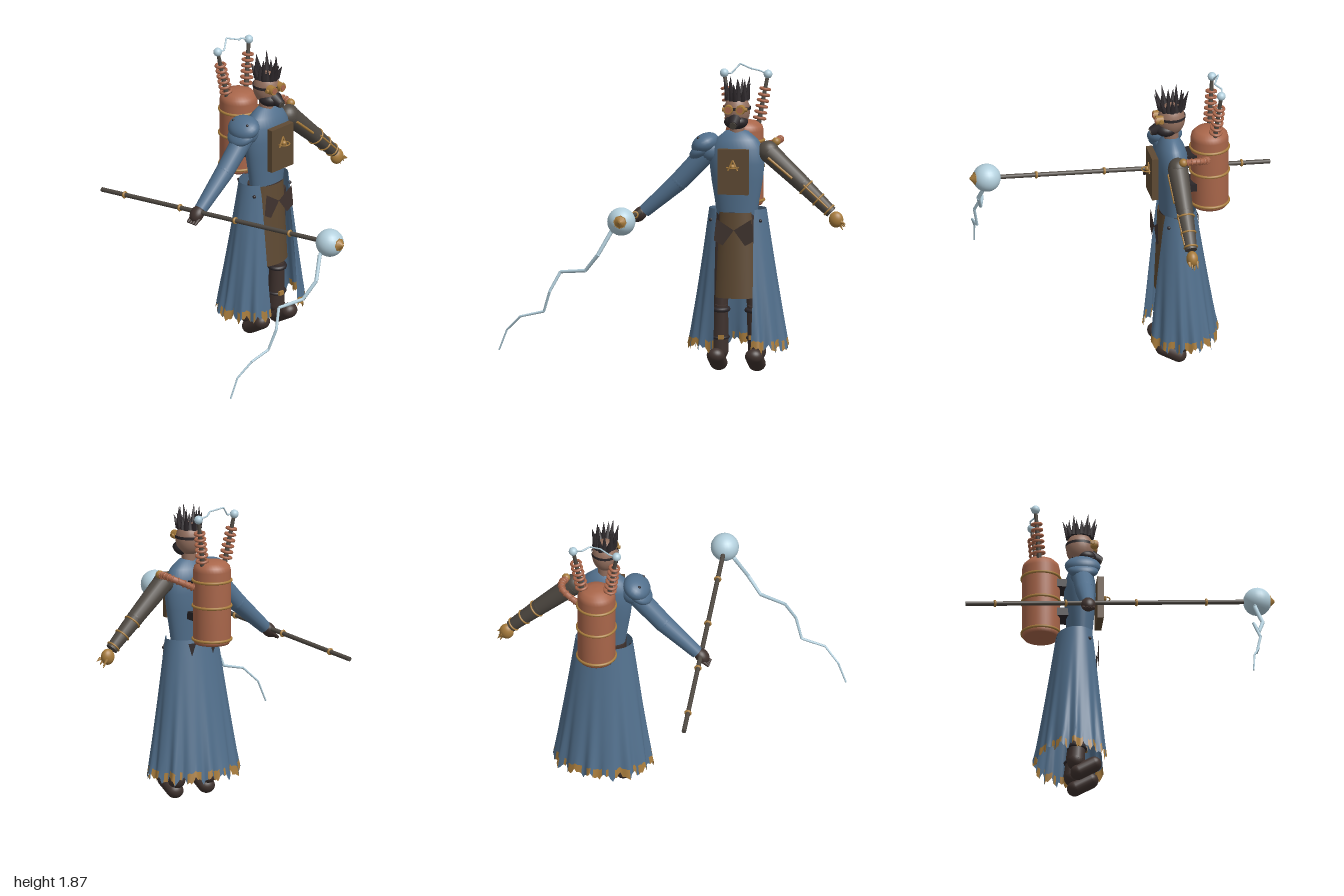
import * as THREE from 'three';

const mat = (name, color) => {
  const m = new THREE.MeshStandardMaterial({ color, side: THREE.DoubleSide });
  m.name = name;
  return m;
};
const V = (x, y, z) => new THREE.Vector3(x, y, z);
const UP = V(0, 1, 0);
const CX = 0.305; // body centre line

export function createModel() {
  const model = new THREE.Group();
  const blue = mat('blue cloth', 0x52708d), brass = mat('brass', 0xa87c3c), copper = mat('copper', 0xa9664a);
  const leather = mat('brown leather', 0x5f4a33), boot = mat('dark leather', 0x40332f);
  const sleeve = mat('grey leather', 0x504a43), black = mat('black', 0x2c272a);
  const pale = mat('pale glow', 0xb3cfdc), skin = mat('skin', 0x94705f);

  const add = (name, geo, m, pos = V(0, 0, 0), scale = [1, 1, 1]) => {
    const mesh = new THREE.Mesh(geo, m);
    mesh.name = name;
    mesh.position.copy(pos);
    mesh.scale.set(...scale);
    model.add(mesh);
    return mesh;
  };
  const ball = (name, m, pos, rx, ry = rx, rz = rx) =>
    add(name, new THREE.SphereGeometry(1, 24, 16), m, pos, [rx, ry, rz]);
  // Tapered rod from a to b
  const rod = (name, m, a, b, r1, r2 = r1, sides = 16) => {
    const d = b.clone().sub(a);
    const mesh = add(name, new THREE.CylinderGeometry(r2, r1, d.length(), sides), m, a.clone().lerp(b, 0.5));
    mesh.quaternion.setFromUnitVectors(UP, d.normalize());
    return mesh;
  };
  // Hoop around the line a-b at fraction t
  const hoop = (name, m, a, b, t, r, tube) => {
    const mesh = add(name, new THREE.TorusGeometry(r, tube, 8, 28), m, a.clone().lerp(b, t));
    mesh.quaternion.setFromUnitVectors(V(0, 0, 1), b.clone().sub(a).normalize());
    return mesh;
  };
  const lathe = pts => new THREE.LatheGeometry(pts.map(p => new THREE.Vector2(...p)), 36);
  const bolt = (name, pts, r0, r1) => {
    for (let i = 0; i + 1 < pts.length; i++) {
      const r = k => r0 + (r1 - r0) * k / (pts.length - 1);
      rod(name, pale, V(...pts[i]), V(...pts[i + 1]), r(i), r(i + 1), 8);
    }
  };

  // Torso and chest plate
  add('torso', lathe([[0.125, 0.98], [0.14, 1.08], [0.16, 1.2], [0.172, 1.3], [0.165, 1.39], [0.13, 1.45], [0.07, 1.5], [0, 1.51]]),
    blue, V(CX, 0, -0.2), [1, 1, 0.57]);
  rod('neck', skin, V(CX, 1.46, -0.2), V(CX, 1.56, -0.2), 0.045);
  add('chestPlate', new THREE.BoxGeometry(0.19, 0.28, 0.04), leather, V(CX, 1.26, -0.08));
  ball('chestDial', brass, V(CX, 1.295, -0.05), 0.016);
  add('dialRing', new THREE.TorusGeometry(0.036, 0.004, 6, 28), brass, V(CX, 1.29, -0.05)).rotation.x = Math.PI / 2;
  for (const s of [-1, 1]) rod('dialStrut', brass, V(CX + s * 0.03, 1.27, -0.057), V(CX, 1.335, -0.057), 0.005);

  // Long open coat skirt with folds, ragged hem and broken brass trim
  const cols = 120, rows = 14, pos = [], plain = [], trim = [];
  for (let j = 0; j <= rows; j++) {
    const v = j < rows - 1 ? j / (rows - 1) * 0.94 : 0.94 + (j - rows + 1) * 0.06;
    const gap = 0.76 - 0.36 * Math.pow(v, 0.6);
    for (let i = 0; i <= cols; i++) {
      const a = gap + (Math.PI * 2 - 2 * gap) * i / cols;
      const fold = 1 + 0.045 * v * v * (Math.sin(a * 15) + 0.4 * Math.sin(a * 23 + 1));
      const rag = v > 0.9 ? (v - 0.9) * 10 * (0.018 * Math.sin(i * 0.9) + 0.012 * Math.sin(i * 2.3)) : 0;
      pos.push(CX + Math.sin(a) * (0.178 + 0.125 * v) * fold, 1.02 - 0.86 * v + rag,
        -0.225 - 0.025 * v + Math.cos(a) * (0.122 + 0.106 * v) * fold);
      if (j < rows && i < cols) {
        const p = j * (cols + 1) + i, q = p + cols + 1;
        const gold = j === rows - 1 && Math.sin(i * 0.55) + Math.sin(i * 1.37) > -0.1;
        (gold ? trim : plain).push(p, q, p + 1, q, q + 1, p + 1);
      }
    }
  }
  const skirt = new THREE.BufferGeometry();
  skirt.setAttribute('position', new THREE.Float32BufferAttribute(pos, 3));
  skirt.setIndex([...plain, ...trim]);
  skirt.addGroup(0, plain.length, 0);
  skirt.addGroup(plain.length, trim.length, 1);
  skirt.computeVertexNormals();
  add('coatSkirt', skirt, [blue, brass]);

  // Apron with crossed dark flaps
  add('apron', new THREE.CylinderGeometry(0.12, 0.15, 0.53, 20, 1, true, -0.98, 1.96), leather, V(CX, 0.735, -0.2), [1, 1, 0.7]);
  add('hips', new THREE.CylinderGeometry(0.13, 0.13, 0.1, 28), boot, V(CX, 0.95, -0.21), [1, 1, 0.65]);
  for (const s of [-1, 1]) {
    const flap = new THREE.Shape([[0, 0.895], [s * 0.11, 0.965], [s * 0.125, 0.83], [s * 0.07, 0.8]].map(p => new THREE.Vector2(...p)));
    add('waistFlap', new THREE.ShapeGeometry(flap), boot, V(CX, 0, -0.092));
    ball('coatButton', black, V(CX + s * 0.155, 0.95, -0.152), 0.011);
    const tab = new THREE.Shape([[-0.03, 0], [0.03, 0], [0.01, -0.08]].map(p => new THREE.Vector2(...p)));
    add('backTab', new THREE.ShapeGeometry(tab), black, V(CX + s * 0.08, 1.0, -0.346)).rotation.x = 0.12;
  }

  // Legs and boots, hanging toe-down
  for (const s of [-1, 1]) {
    const hip = V(CX + s * 0.095, 0.92, -0.21), knee = V(CX + s * 0.105, 0.42, -0.21), ankle = V(CX + s * 0.118, 0.13, -0.235);
    rod('thigh', boot, hip, knee, 0.06, 0.046);
    rod('shin', boot, knee, ankle, 0.046, 0.056);
    hoop('kneeStrap', black, knee, ankle, 0.1, 0.048, 0.014);
    hoop('ankleStrap', black, knee, ankle, 0.7, 0.054, 0.009);
    add('buckle', new THREE.BoxGeometry(0.035, 0.026, 0.014), brass, V(CX + s * 0.095, 0.22, -0.168));
    ball('heel', boot, ankle, 0.056, 0.06, 0.054);
    const foot = add('foot', new THREE.CapsuleGeometry(0.05, 0.11, 8, 20), boot, V(CX + s * 0.12, 0.083, -0.172), [1.1, 1, 0.95]);
    foot.rotation.x = 1.05;
  }

  // Head, goggles and breathing mask
  ball('head', skin, V(CX, 1.625, -0.2), 0.08, 0.105, 0.085);
  ball('mask', black, V(CX, 1.56, -0.165), 0.074, 0.046, 0.07);
  rod('maskFilter', black, V(CX, 1.57, -0.13), V(CX, 1.548, -0.07), 0.044, 0.026);
  rod('filterCap', sleeve, V(CX, 1.549, -0.072), V(CX, 1.546, -0.064), 0.022);
  add('goggleStrap', new THREE.CylinderGeometry(0.087, 0.087, 0.018, 32, 1, true), black, V(CX, 1.642, -0.2), [0.97, 1, 1]);
  for (const s of [-1, 1]) {
    const x = CX + s * 0.037;
    rod('goggleCup', brass, V(x, 1.64, -0.14), V(x, 1.64, -0.095), 0.03, 0.027);
    rod('goggleLens', copper, V(x, 1.64, -0.096), V(x, 1.64, -0.09), 0.019);
    rod('goggleHinge', brass, V(CX + s * 0.055, 1.64, -0.125), V(CX + s * 0.078, 1.64, -0.125), 0.012);
  }

  // Ring of hair spikes around a bare crown
  for (let i = 0; i < 17; i++) {
    const a = i / 17 * Math.PI * 2, h = 0.105 + 0.03 * Math.sin(i * 2.4);
    const lean = 0.012 + 0.012 * Math.cos(i * 3.1);
    const base = V(CX + Math.sin(a) * 0.06, 1.695, -0.2 + Math.cos(a) * 0.066);
    rod('hairSpike', black, base, base.clone().add(V(Math.sin(a) * lean, h, Math.cos(a) * lean * 1.7)), 0.02, 0.001, 7);
  }

  // Boiler on the back
  add('boiler', lathe([[0, 1.01], [0.105, 1.01], [0.117, 1.03], [0.117, 1.47], [0.11, 1.5], [0.085, 1.525], [0.04, 1.535], [0, 1.537]]),
    copper, V(CX, 0, -0.44));
  for (const y of [1.04, 1.25, 1.41])
    add('boilerBand', new THREE.TorusGeometry(0.118, 0.009, 8, 36), brass, V(CX, y, -0.44)).rotation.x = Math.PI / 2;
  add('boilerMount', new THREE.BoxGeometry(0.14, 0.05, 0.12), black, V(CX, 1.165, -0.31));
  add('boilerMountUpper', new THREE.BoxGeometry(0.14, 0.05, 0.12), black, V(CX, 1.36, -0.31));

  // Twin coils with a spark between them
  for (const s of [-1, 1]) {
    const a = V(CX + s * 0.08, 1.49, -0.455), b = V(CX + s * 0.137, 1.815, -0.485);
    rod('coilRod', sleeve, a, b, 0.016, 0.011);
    for (let i = 0; i < 6; i++) hoop('coilRing', copper, a, b, 0.17 + i * 0.11, 0.033 - i * 0.001, 0.009);
    ball('coilBall', pale, b, 0.027);
  }
  bolt('spark', [[0.168, 1.815, -0.485], [0.215, 1.815, -0.475], [0.265, 1.872, -0.505], [0.34, 1.85, -0.465], [0.385, 1.835, -0.5], [0.442, 1.815, -0.485]], 0.005, 0.005);

  // Ribbed hose from boiler to left shoulder
  const path = new THREE.CatmullRomCurve3([V(0.4, 1.36, -0.4), V(0.46, 1.39, -0.39), V(0.54, 1.43, -0.35), V(0.555, 1.44, -0.29), V(0.54, 1.43, -0.23)]);
  add('hose', new THREE.TubeGeometry(path, 30, 0.019, 12), copper);
  for (let i = 1; i < 10; i++) hoop('hoseRib', copper, path.getPoint(i / 10 - 0.01), path.getPoint(i / 10 + 0.01), 0.5, 0.019, 0.005);
  ball('hoseFitting', brass, V(0.545, 1.435, -0.225), 0.026);

  // Left arm with brass fittings and clawed hand
  const ls = V(0.5, 1.375, -0.2), le = V(0.715, 1.18, -0.2), lw = V(0.895, 1.01, -0.2);
  ball('leftShoulder', sleeve, ls, 0.068, 0.068, 0.06);
  rod('leftUpperArm', sleeve, ls, le, 0.064, 0.052);
  ball('leftElbow', sleeve, le, 0.052);
  rod('leftForearm', sleeve, le, lw, 0.052, 0.038);
  for (const t of [0.12, 0.55, 0.92]) hoop('armBand', brass, le, lw, t, 0.052 - 0.014 * t, 0.006);
  rod('armRail', brass, V(0.51, 1.345, -0.139), V(0.66, 1.22, -0.146), 0.008);
  rod('forearmRail', brass, V(0.73, 1.18, -0.15), V(0.88, 1.04, -0.162), 0.006);
  ball('leftHand', brass, V(0.925, 0.965, -0.2), 0.045, 0.05, 0.036);
  for (let i = 0; i < 4; i++) {
    const z = -0.225 + i * 0.017, k = Math.abs(i - 1) * 0.012;
    rod('claw', brass, V(0.935 + k, 0.955, z), V(0.965 + k, 0.9 + k * 1.7, z), 0.012, 0.002, 8);
  }

  // Right arm with layered shoulder guard and glove
  const rs = V(0.13, 1.375, -0.2), re = V(-0.06, 1.175, -0.2), rw = V(-0.275, 0.985, -0.2);
  ball('rightShoulder', blue, rs, 0.075);
  rod('rightUpperArm', blue, rs, re, 0.065, 0.058);
  ball('rightElbow', blue, re, 0.058);
  rod('rightForearm', blue, re, rw, 0.058, 0.04);
  ball('shoulderGuard', blue, V(0.105, 1.415, -0.2), 0.088, 0.062, 0.11).rotation.z = 0.5;
  ball('shoulderGuardLower', blue, V(0.085, 1.375, -0.2), 0.088, 0.045, 0.095).rotation.z = 0.6;
  for (const z of [-0.26, -0.14]) ball('guardRivet', black, V(0.075, 1.455, z), 0.009);
  ball('glove', boot, V(-0.305, 0.965, -0.2), 0.056, 0.04, 0.045).rotation.z = 0.85;
  for (let i = 0; i < 4; i++) rod('gloveFinger', boot, V(-0.31, 0.95, -0.23 + i * 0.02), V(-0.355, 0.915, -0.23 + i * 0.02), 0.013, 0.009);

  // Staff with glowing orb, bands and spiked brass cap
  const tail = V(-0.363, 0.913, -0.96), orb = V(-0.213, 1.067, 0.85);
  rod('staff', sleeve, tail, orb, 0.014);
  for (const t of [0.1, 0.343, 0.585, 0.825]) hoop('staffBand', brass, tail, orb, t, 0.015, 0.008);
  ball('orb', pale, orb, 0.087);
  const dir = orb.clone().sub(tail).normalize();
  const along = d => orb.clone().addScaledVector(dir, d);
  rod('orbCap', brass, along(0.068), along(0.08), 0.045, 0.04, 8);
  rod('orbSpike', brass, along(0.08), along(0.108), 0.036, 0.006, 8);

  // Lightning trailing from the orb
  bolt('lightning', [[-0.25, 1.03, 0.84], [-0.28, 1.0, 0.83], [-0.355, 0.86, 0.872], [-0.44, 0.755, 0.84], [-0.605, 0.737, 0.795],
    [-0.665, 0.62, 0.832], [-0.707, 0.49, 0.805], [-0.855, 0.455, 0.805], [-0.945, 0.365, 0.772], [-0.996, 0.237, 0.762]], 0.014, 0.005);
  return model;
}
